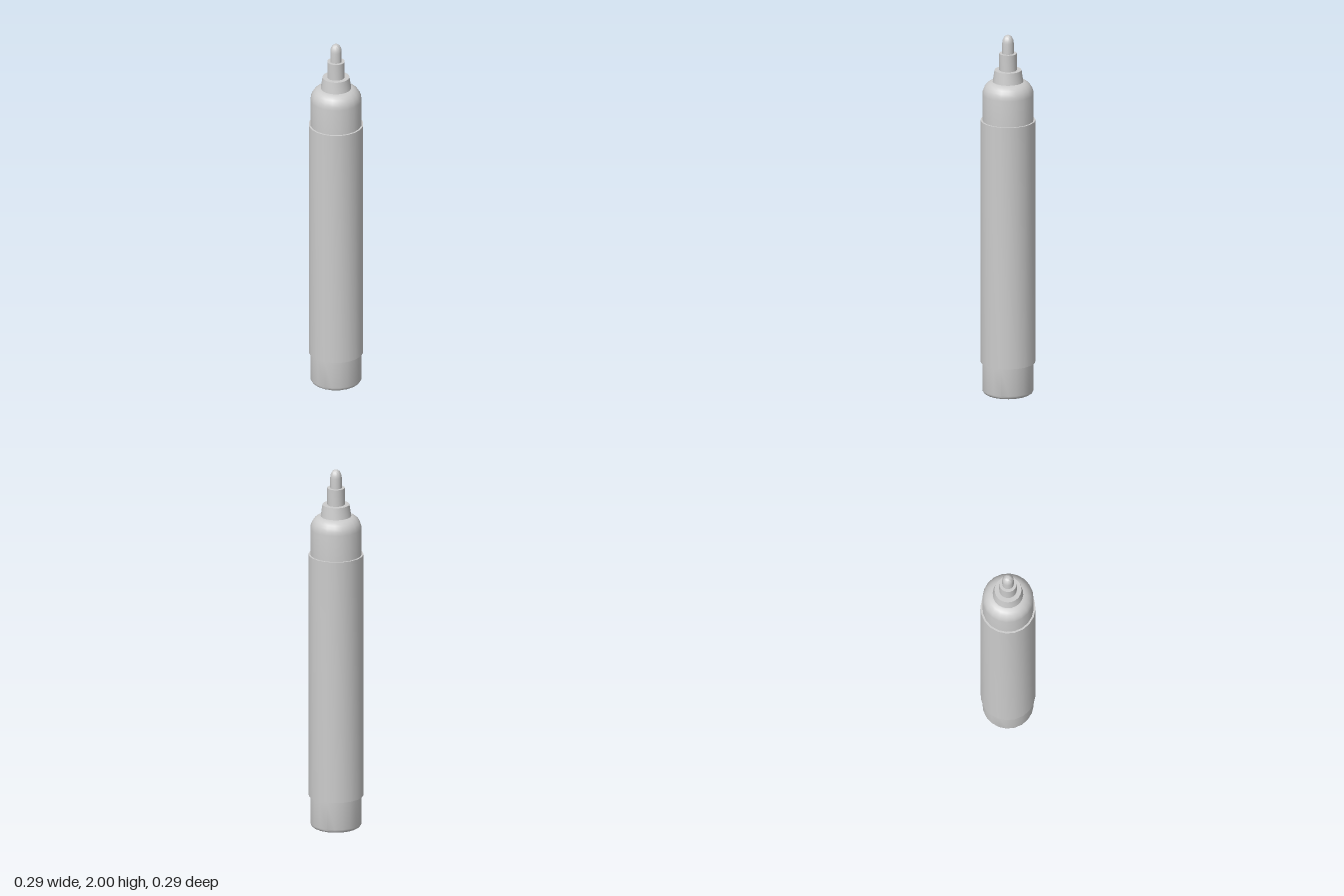
import * as THREE from 'three';
import { toCreasedNormals } from 'three/addons/utils/BufferGeometryUtils.js';

const SIDES = 20;

// Points of a quarter-ellipse between two angles, as [radius, height]
function arc(cx, cy, rx, ry, from, to, steps) {
  return Array.from({ length: steps + 1 }, (_, i) => {
    const a = from + (to - from) * i / steps;
    return [Math.max(0, cx + rx * Math.cos(a)), cy + ry * Math.sin(a)];
  });
}

export function createModel() {
  const group = new THREE.Group();
  const material = new THREE.MeshStandardMaterial({ color: 0xcccccc });

  // Turned part: profile runs from bottom to top, sharp corners are kept
  const turn = (name, profile) => {
    const points = profile.map(([r, y]) => new THREE.Vector2(r, y));
    const geometry = toCreasedNormals(new THREE.LatheGeometry(points, SIDES), 0.6);
    const mesh = new THREE.Mesh(geometry, material);
    mesh.name = name;
    group.add(mesh);
  };

  const half = Math.PI / 2;

  // End plug with a softly rounded bottom rim
  turn('endPlug', [[0, 0], ...arc(0.117, 0.02, 0.02, 0.02, -half, 0, 4), [0.137, 0.175]]);

  // Main barrel, a sleeve slightly wider than both ends
  turn('barrel', [[0.137, 0.175], [0.147, 0.175], [0.147, 1.525], [0.137, 1.525]]);

  // Front section with a rounded shoulder
  turn('shoulder', [[0.137, 1.525], ...arc(0.075, 1.67, 0.062, 0.072, 0, half, 6), [0, 1.742]]);

  // Tapered collar
  turn('collar', [[0.082, 1.74], [0.072, 1.805], [0, 1.805]]);

  // Nib holder
  turn('nibHolder', [[0.047, 1.805], [0.047, 1.898], [0, 1.898]]);

  // Bullet nib
  turn('nib', [[0.031, 1.898], ...arc(0, 1.955, 0.031, 0.045, 0, half, 6)]);

  return group;
}
